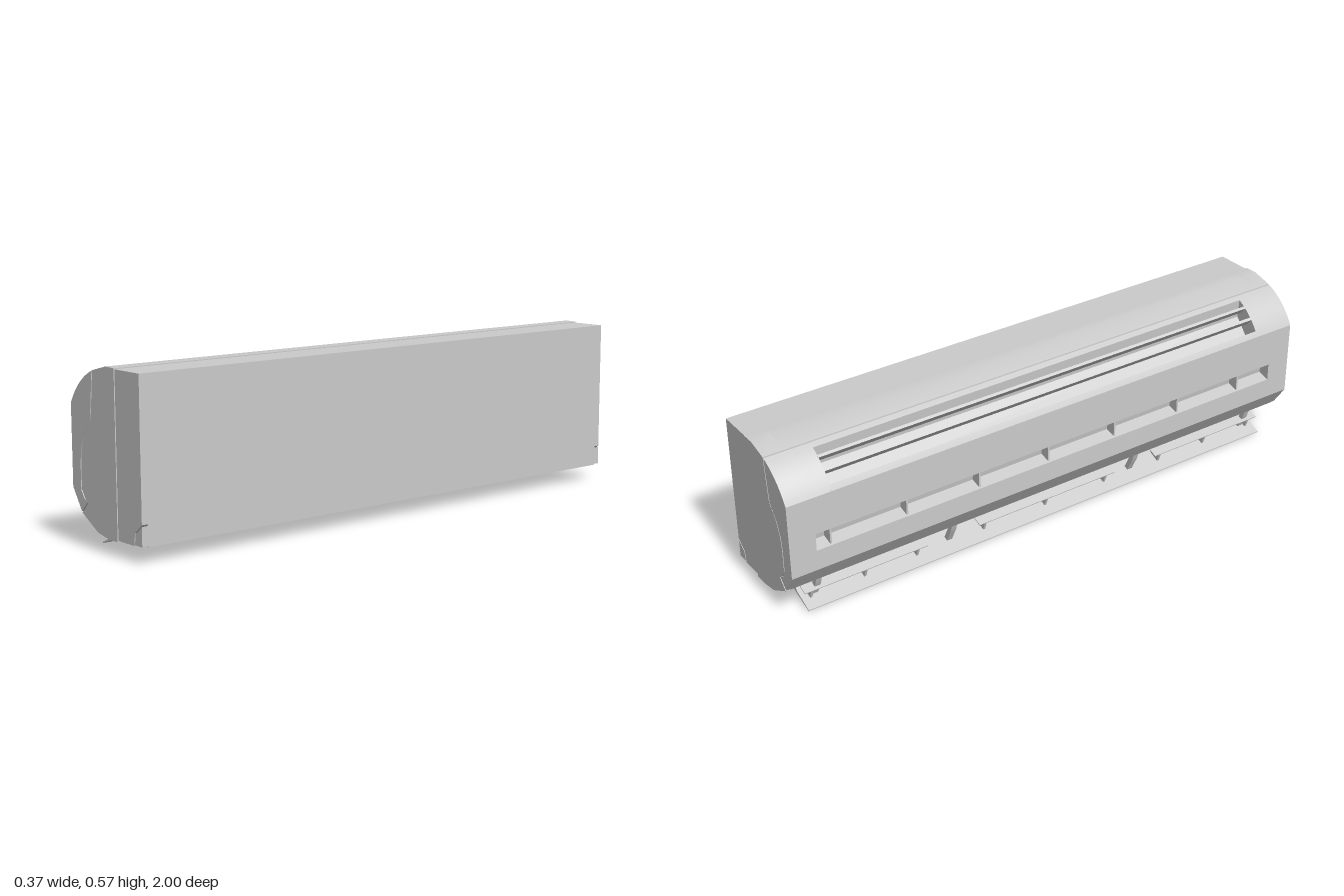
import * as THREE from 'three';
import { toCreasedNormals } from 'three/addons/utils/BufferGeometryUtils.js';

const material = new THREE.MeshStandardMaterial({ color: 0xcccccc });

// Extrudes an x-y cross-section from z0 to z1.
function extrude(name, points, z0, z1) {
  const shape = new THREE.Shape(points.map(([x, y]) => new THREE.Vector2(x, y)));
  const geometry = new THREE.ExtrudeGeometry(shape, { depth: z1 - z0, bevelEnabled: false, steps: 1 });
  geometry.translate(0, 0, z0);
  const mesh = new THREE.Mesh(toCreasedNormals(geometry, 0.4), material);
  mesh.name = name;
  return mesh;
}

// Curved upper part of the front cover
const arc = new THREE.QuadraticBezierCurve(
  new THREE.Vector2(-0.185, 0.44), new THREE.Vector2(-0.1425, 0.5175), new THREE.Vector2(-0.064, 0.549));
function arcPoints(t0, t1, n) {
  return Array.from({ length: n + 1 }, (_, i) => arc.getPoint(t0 + (t1 - t0) * i / n).toArray());
}

// Wavy joint between the body and the front cover, top to bottom
const seam = [[-0.06, 0.551], [-0.068, 0.47], [-0.075, 0.405], [-0.082, 0.392], [-0.11, 0.355], [-0.13, 0.305],
  [-0.135, 0.26], [-0.135, 0.18], [-0.12, 0.157], [-0.102, 0.14], [-0.135, 0.107]];

export function createModel() {
  const model = new THREE.Group();
  const add = (...args) => model.add(extrude(...args));
  const mirrored = (name, points, z0, z1) => {
    add(name, points, z0, z1);
    add(name, points, -z1, -z0);
  };

  // Body with the air outlet cut into its lower front slope
  const bodyTop = [[0.057, 0.568], [0.012, 0.569], ...seam];
  const bodyBottom = [[-0.05, 0.06], [0.012, 0.049], [0.057, 0.049]];
  const outlet = [[-0.124, 0.101], [-0.092, 0.138], [-0.045, 0.135], [-0.03, 0.11], [-0.062, 0.067]];
  mirrored('bodyEnd', [...bodyTop, ...bodyBottom], 0.93, 1);
  add('bodyMiddle', [...bodyTop, ...outlet, ...bodyBottom], -0.93, 0.93);

  // Rear chassis with small corner covers at both ends
  const rear = [[0.183, 0.565], [0.057, 0.565], [0.057, 0.053]];
  add('rearChassis', [...rear, [0.183, 0.053]], -0.975, 0.975);
  mirrored('rearChassisEnd', [...rear, [0.141, 0.053], [0.146, 0.091], [0.183, 0.122]], 0.975, 0.997);
  mirrored('cornerCover', [[0.183, 0.117], [0.15, 0.089], [0.145, 0.056], [0.183, 0.056]], 0.975, 0.997);

  // Front cover: plain ends, then sections with the front slot and the top intake
  const gapSeam = seam.map(([x, y], i) => i < 9 ? [x - 0.004, y - 0.002] : [x - 0.003, y + 0.004]).reverse();
  gapSeam[0] = [-0.138, 0.111];
  const tightSeam = [...seam.slice(1).reverse(), [-0.064, 0.52]];
  const face = [[-0.185, 0.44], [-0.185, 0.18]];
  const slot = [[-0.185, 0.31], [-0.15, 0.315], [-0.142, 0.262], [-0.185, 0.25]];
  const slottedFace = [face[0], ...slot, face[1]];
  const curve = arcPoints(0, 1, 16).reverse().slice(0, -1);
  const intake = [...arcPoints(0.88, 1, 3).reverse(), [-0.078, 0.475], [-0.139, 0.405], ...arcPoints(0.01, 0.12, 3).reverse()];
  mirrored('frontCoverEnd', [...curve, ...face, ...gapSeam.slice(0, -1)], 0.985, 1);
  mirrored('frontCoverSide', [...curve, ...face, ...tightSeam], 0.91, 0.985);
  mirrored('frontCoverShoulder', [...curve, ...slottedFace, ...tightSeam], 0.845, 0.91);
  add('frontCoverMiddle', [...intake, ...slottedFace, ...tightSeam], -0.845, 0.845);

  // Long slats across the top intake
  for (const t of [0.4, 0.68]) {
    const outer = arcPoints(t - 0.03, t + 0.03, 2);
    const inner = outer.map(([x, y]) => [x + 0.02, y - 0.024]).reverse();
    add('intakeSlat', [...outer, ...inner], -0.845, 0.845);
  }

  // Upright ribs inside the front slot
  for (let i = 0; i < 7; i++) {
    const z = -0.857 + i * 0.271;
    add('slotRib', [[-0.18, 0.311], [-0.148, 0.314], [-0.141, 0.263], [-0.18, 0.253]], z - 0.003, z + 0.003);
  }

  // Main swing flap below the outlet
  add('outletFlap', [[-0.137, 0.001], [-0.043, 0.035], [-0.055, 0.062], [-0.061, 0.066], [-0.06, 0.046],
    [-0.066, 0.036], [-0.137, 0.005]], -0.93, 0.93);

  // Narrow upper blade in three lengths, between the arms
  for (const [z0, z1] of [[-0.93, -0.48], [-0.28, 0.28], [0.46, 0.93]]) {
    add('upperBlade', [[-0.12, 0.056], [-0.07, 0.076], [-0.071, 0.079], [-0.121, 0.059]], z0, z1);
    // Brackets joining blade and flap
    for (const z of [z0 + 0.03, (z0 + z1) / 2, z1 - 0.03]) {
      add('flapBracket', [[-0.115, 0.058], [-0.1, 0.016], [-0.061, 0.031], [-0.061, 0.065], [-0.07, 0.076]], z - 0.004, z + 0.004);
    }
  }

  // Swing arms reaching from the outlet to the flap
  for (const z of [-0.88, -0.38, 0.37, 0.88]) {
    add('swingArm', [[-0.125, 0.1], [-0.117, 0.075], [-0.108, 0.058], [-0.09, 0.02], [-0.075, 0.028],
      [-0.094, 0.066], [-0.104, 0.088], [-0.106, 0.12]], z - 0.01, z + 0.01);
  }

  return model;
}
